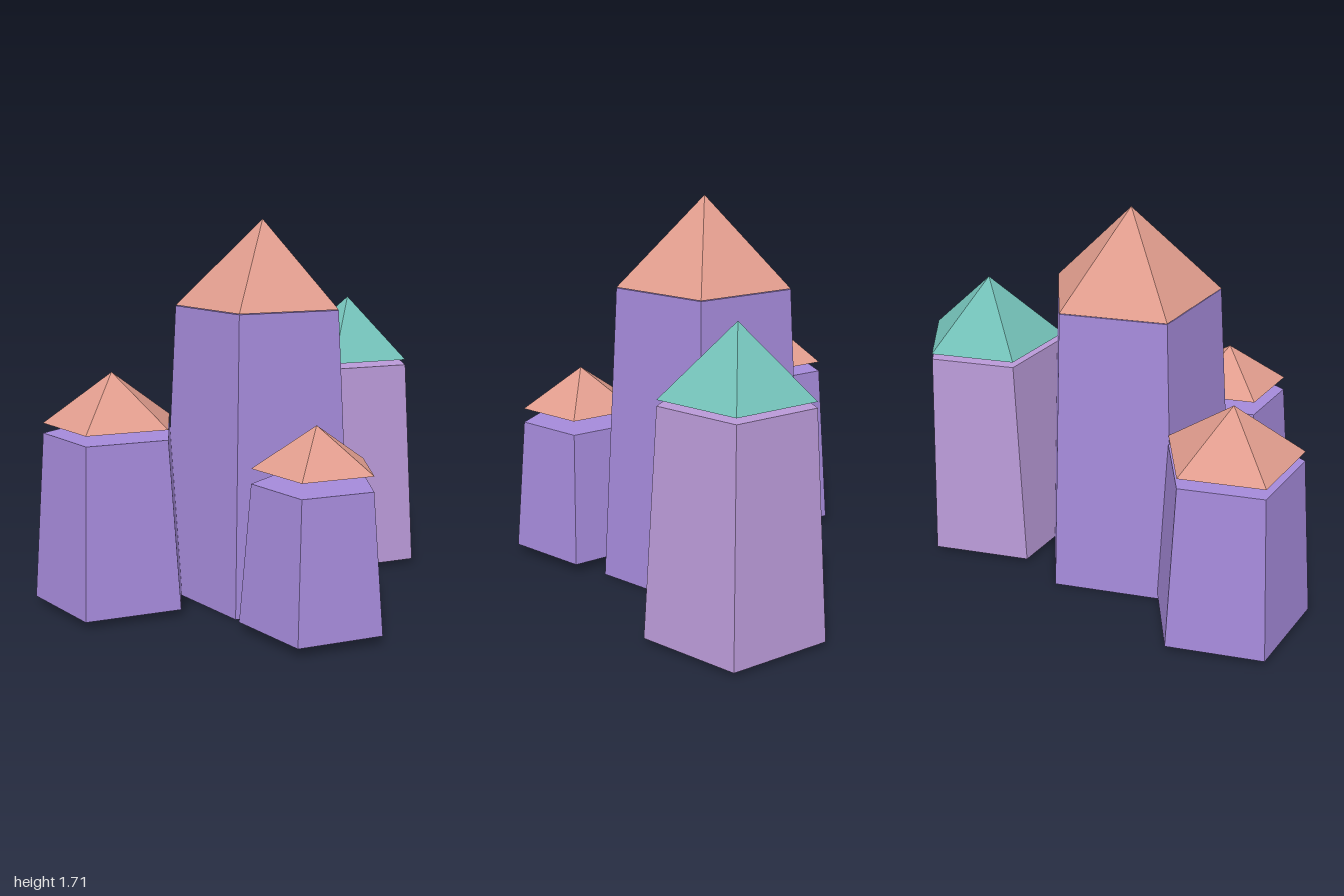
import * as THREE from 'three';

const material = (name, color) => {
  const m = new THREE.MeshStandardMaterial({ color, flatShading: true });
  m.name = name;
  return m;
};

export function createModel() {
  const purple = material('purple wall', 0xa58ada);
  const lilac = material('lilac wall', 0xba9ad8);
  const coral = material('coral roof', 0xe09c8d);
  const teal = material('teal roof', 0x72bfb6);

  // Tapered five-sided wall with a floating five-sided pyramid roof; a corner points to the back
  const towers = [
    { name: 'mainTower', x: 0.04, z: -0.07, bottom: 0.468, top: 0.392, wall: [0, 1.325], roof: [1.328, 1.71], colors: [purple, coral] },
    { name: 'rightTower', x: -0.655, z: -0.113, bottom: 0.363, top: 0.306, wall: [0.03, 0.785], roof: [0.83, 1.055], colors: [purple, coral] },
    { name: 'leftTower', x: 0.63, z: -0.42, bottom: 0.385, top: 0.324, wall: [0.02, 0.995], roof: [1.02, 1.31], colors: [lilac, teal] },
    { name: 'frontTower', x: 0.04, z: 0.538, bottom: 0.323, top: 0.271, wall: [0.04, 0.645], roof: [0.71, 0.89], colors: [purple, coral] },
  ];

  const model = new THREE.Group();
  model.name = 'towerCluster';
  for (const t of towers) {
    const tower = new THREE.Group();
    tower.name = t.name;
    tower.position.set(t.x, 0, t.z);
    tower.rotation.y = Math.PI;

    const addPart = (name, topRadius, bottomRadius, [y0, y1], mat) => {
      const geometry = new THREE.CylinderGeometry(topRadius, bottomRadius, y1 - y0, 5);
      const mesh = new THREE.Mesh(geometry, mat);
      mesh.name = name;
      mesh.position.y = (y0 + y1) / 2;
      tower.add(mesh);
    };
    addPart('wall', t.top, t.bottom, t.wall, t.colors[0]);
    addPart('roof', 0, t.top, t.roof, t.colors[1]);
    model.add(tower);
  }
  return model;
}
